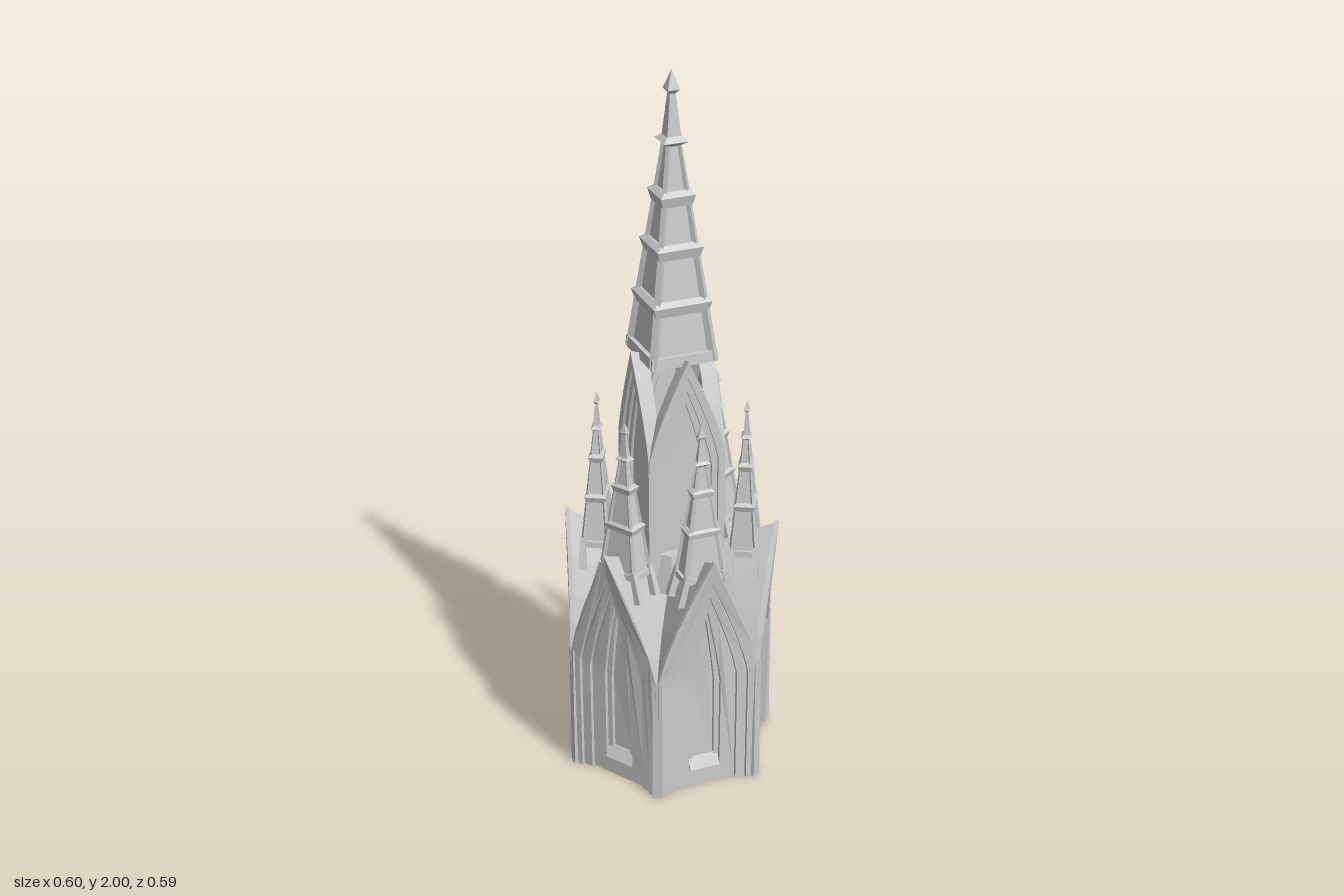
import * as THREE from 'three';

const mat = new THREE.MeshStandardMaterial({ color: 0xcccccc, flatShading: true, side: THREE.DoubleSide });

function add(parent, geo, name, x = 0, y = 0, z = 0) {
  const m = new THREE.Mesh(geo, mat);
  m.name = name;
  m.position.set(x, y, z);
  parent.add(m);
  return m;
}

// Square frustum with half widths at bottom and top
function frustum(hb, ht, h) {
  return new THREE.CylinderGeometry(ht * Math.SQRT2, hb * Math.SQRT2, h, 4).rotateY(Math.PI / 4);
}

// Points of a pointed arch, from right foot over the peak to left foot
function archPoints(w, y0, spring, peak) {
  const curve = new THREE.QuadraticBezierCurve(
    new THREE.Vector2(w, spring),
    new THREE.Vector2(w * 0.82, spring + (peak - spring) * 0.34),
    new THREE.Vector2(0, peak));
  const right = [new THREE.Vector2(w, y0), ...curve.getPoints(4)];
  const left = right.slice(0, -1).reverse().map(p => new THREE.Vector2(-p.x, p.y));
  return [...right, ...left];
}

// One gabled wall: stepped arch mouldings, panel and lancet, leaning out toward the gable
function gabledWall(n, o) {
  const g = new THREE.Group();
  g.name = 'gabledWall';
  const lean = y => o.lean * Math.pow(Math.max(0, y) / o.peak, 3);
  const slab = (shape, front, depth, name) => {
    const geo = new THREE.ExtrudeGeometry(shape, { depth, bevelEnabled: false });
    const p = geo.attributes.position;
    for (let i = 0; i < p.count; i++) p.setZ(i, p.getZ(i) + front - depth + o.a + lean(p.getY(i)));
    geo.computeVertexNormals();
    add(g, geo, name);
  };

  const rings = o.rings.map(r => archPoints(r[0], 0, r[1], r[2]));
  const last = rings.length - 1;
  for (let i = 0; i < last; i++) {
    slab(new THREE.Shape([...rings[i], ...rings[i + 1].slice().reverse()]), -o.step * i, o.step * 1.2, 'archMoulding');
  }
  // Panel and splayed window frame, each pierced by a narrower lancet
  let outline = rings[last];
  o.windows.forEach((w, i) => {
    const shape = new THREE.Shape(outline);
    shape.holes.push(new THREE.Path(archPoints(...w)));
    slab(shape, -o.step * (last + i), o.step * 1.2, 'archPanel');
    outline = archPoints(...w);
  });
  slab(new THREE.Shape(outline), -o.step * (last + o.windows.length), 0.004, 'lancetPane');
  const [ww, wy] = o.windows[0];
  const sill = add(g, new THREE.BoxGeometry(ww * 1.9, 0.04, o.step), 'lancetSill', 0, wy + 0.012, o.a - o.step * (last + 0.8));
  sill.rotation.x = -0.5;

  // Gable roof running straight back to the valleys shared with its neighbours
  const edge = archPoints(o.rings[0][0], 0, o.rings[0][1], o.peak).slice(1, -1);
  const front = edge.map(p => [p.x, p.y, o.a + lean(p.y)]);
  const back = front.map(([x, y, z]) => {
    const zb = Math.min(z, Math.max(o.roofR, Math.abs(x) / Math.tan(Math.PI / n)));
    return [x, y - o.fall * (z - zb), zb];
  });
  const v = [];
  for (let i = 0; i < front.length - 1; i++) {
    v.push(...front[i], ...back[i], ...front[i + 1], ...front[i + 1], ...back[i], ...back[i + 1]);
  }
  // Fall lines along the ridge are on the outer side of the triangles
  const roof = new THREE.BufferGeometry();
  roof.setAttribute('position', new THREE.Float32BufferAttribute(v, 3));
  roof.computeVertexNormals();
  add(g, roof, 'gableRoof');
  return g;
}

// Ring of walls round a solid core
function gabledStage(n, o, name) {
  const stage = new THREE.Group();
  stage.name = name;
  for (let k = 0; k < n; k++) {
    const wall = gabledWall(n, o);
    wall.rotation.y = k * 2 * Math.PI / n;
    stage.add(wall);
  }
  const inset = o.step * (o.rings.length - 1 + o.windows.length) + 0.004;
  const r = (o.a - inset) / Math.cos(Math.PI / n), h = o.rings[0][1];
  add(stage, new THREE.CylinderGeometry(r, r, h, n).rotateY(Math.PI / n), 'core', 0, h / 2, 0);
  return stage;
}

// Banded square spire with edge ribs, 0.78 tall
function spire(bands) {
  const g = new THREE.Group();
  g.name = 'spire';
  add(g, frustum(0.083, 0.014, 0.6), 'spireBody', 0, 0.3, 0);
  add(g, frustum(0.094, 0.092, 0.03), 'spireBase', 0, 0.012, 0);
  // Ribs along the four edges
  const up = new THREE.Vector3(0, 1, 0);
  for (const sx of [-1, 1]) for (const sz of [-1, 1]) {
    const a = new THREE.Vector3(sx * 0.084, 0, sz * 0.084), b = new THREE.Vector3(sx * 0.014, 0.6, sz * 0.014);
    const dir = b.clone().sub(a);
    const rib = add(g, new THREE.CylinderGeometry(0.006, 0.014, dir.length(), 4), 'edgeRib');
    rib.position.copy(a).add(b).multiplyScalar(0.5);
    rib.quaternion.setFromUnitVectors(up, dir.normalize());
  }
  // Bands, each with a sloped weathering on top
  for (const y of bands) {
    const h = 0.099 - 0.115 * y;
    add(g, frustum(h - 0.007, h, 0.028), 'band', 0, y, 0);
    add(g, frustum(h, h - 0.014, 0.012), 'bandSlope', 0, y + 0.02, 0);
  }
  // Finial
  add(g, frustum(0.016, 0.034, 0.014), 'finialCollar', 0, 0.588, 0);
  add(g, frustum(0.034, 0.018, 0.014), 'finialCollarSlope', 0, 0.602, 0);
  add(g, frustum(0.02, 0.007, 0.13), 'finialShaft', 0, 0.665, 0);
  add(g, frustum(0.007, 0.017, 0.012), 'finialKnob', 0, 0.724, 0);
  add(g, frustum(0.017, 0.0005, 0.05), 'finialTip', 0, 0.755, 0);
  return g;
}

export function createModel() {
  const model = new THREE.Group();
  model.name = 'gothicTower';

  // Six-sided lower stage
  const base = gabledStage(6, {
    a: 0.257, lean: 0.038, peak: 0.73, step: 0.01, roofR: 0.1, fall: 0.45,
    rings: [[0.147, 0.37, 0.73], [0.118, 0.35, 0.66], [0.09, 0.34, 0.61]],
    windows: [[0.046, 0.055, 0.32, 0.56], [0.031, 0.075, 0.31, 0.53]],
  }, 'lowerStage');
  model.add(base);

  for (let k = 0; k < 6; k++) {
    // Corner shafts
    const c = k * Math.PI / 3 + Math.PI / 6;
    const shaft = add(base, new THREE.BoxGeometry(0.026, 0.37, 0.026), 'cornerShaft', Math.sin(c) * 0.286, 0.185, Math.cos(c) * 0.286);
    shaft.rotation.y = c;

    // Pinnacles standing astride the gable ridges on splayed feet
    const a = k * Math.PI / 3;
    const pinnacle = new THREE.Group();
    pinnacle.name = 'pinnacle';
    const top = spire([0.24, 0.44]);
    top.scale.set(0.66, 0.57, 0.41);
    pinnacle.add(top);
    for (const sx of [-1, 1]) for (const sz of [-1, 1]) {
      const foot = add(pinnacle, frustum(0.01, 0.007, 0.09), 'pinnacleFoot', sx * 0.063, -0.018, sz * 0.034);
      foot.rotation.z = sx * 0.25;
    }
    pinnacle.position.set(Math.sin(a) * 0.203, 0.645, Math.cos(a) * 0.203);
    pinnacle.rotation.y = a;
    model.add(pinnacle);
  }

  // Four-sided upper stage
  const tower = gabledStage(4, {
    a: 0.109, lean: 0.008, peak: 0.68, step: 0.007, roofR: 0.07, fall: 0.2,
    rings: [[0.109, 0.4, 0.68], [0.09, 0.38, 0.63]],
    windows: [[0.074, 0.04, 0.36, 0.59], [0.056, 0.05, 0.34, 0.55]],
  }, 'upperStage');
  tower.position.y = 0.56;
  model.add(tower);
  add(model, new THREE.CylinderGeometry(0.13, 0.15, 0.11, 8).rotateY(Math.PI / 8), 'towerFoot', 0, 0.615, 0);

  const main = spire([0.15, 0.3, 0.44]);
  main.name = 'mainSpire';
  main.position.y = 1.22;
  model.add(main);
  return model;
}
